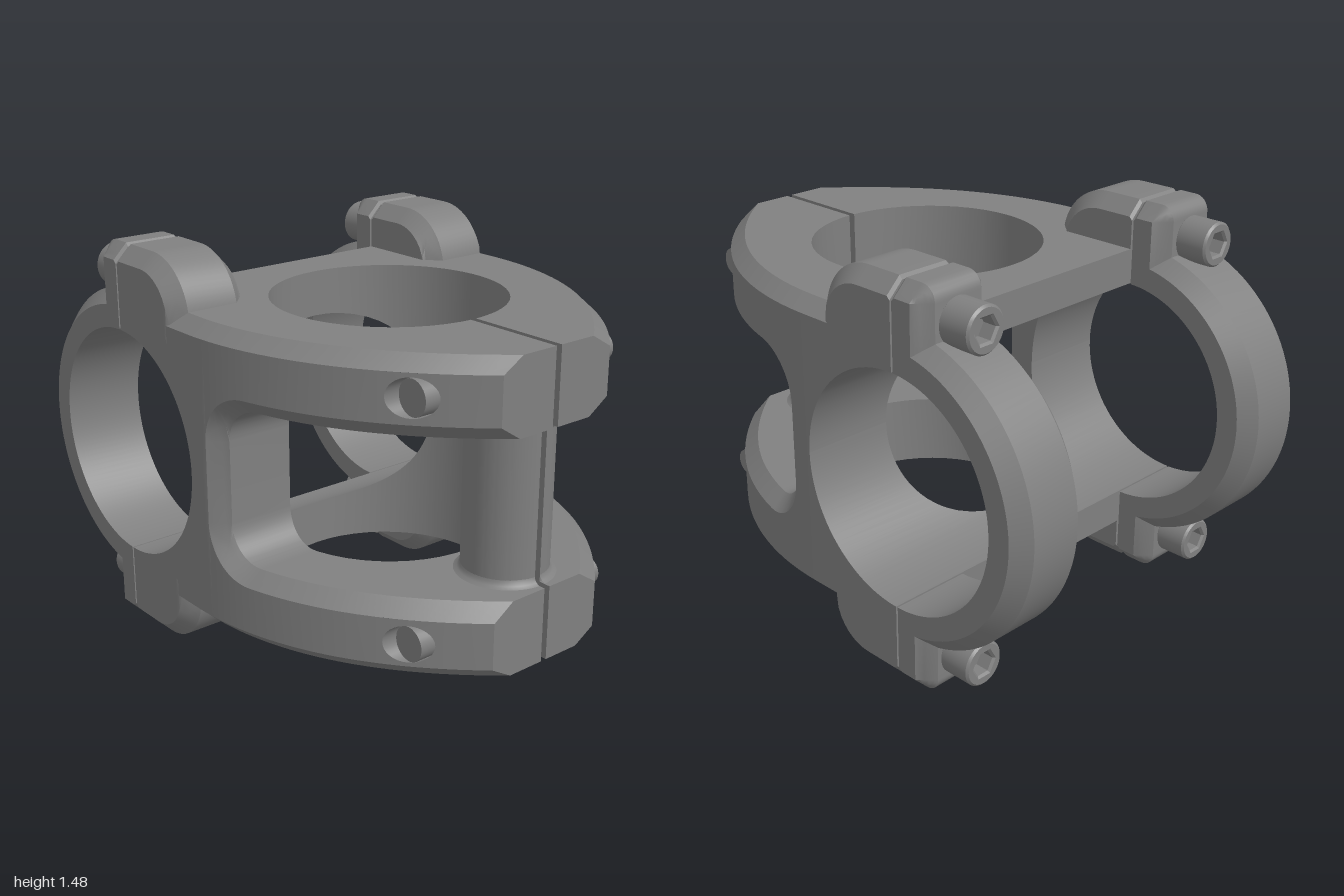
import * as THREE from 'three';
import { toCreasedNormals } from 'three/addons/utils/BufferGeometryUtils.js';

const H = 0.7375;            // half height; parts are modelled around y = 0, then lifted
const R = 0.43;              // radius of both bores
const BAR_Z = -0.43, STEM_Z = 0.182;
const C = 0.055;             // edge chamfer
const STEPS = [0, 0.25, 0.5, 0.75, 1];
const BOLT_Y = 0.43, BOLT_Z = 0.8;
const PATCH_Y = 0.42625, PATCH = 0.08625;   // square of side wall around each pinch bolt

const halfWidth = z => (z <= 0 ? 0.745 : 0.745 - 0.42 * z * z - 0.08 * z ** 4);
const slope = z => (z <= 0 ? 0 : 0.84 * z + 0.32 * z ** 3);
const arc = (r, d) => Math.sqrt(Math.max(0, r * r - d * d));

// Skin closed rings of [x, y, z] points; skip(a, b, c, d, j) leaves a quad out
function loft(rings, { startCap = true, skip = () => false } = {}) {
  const pos = [];
  const tri = (a, b, c) => {
    const [A, B, D] = [a, b, c].map(p => new THREE.Vector3(...p));
    if (B.sub(A).cross(D.sub(A)).length() > 1e-10) pos.push(...a, ...b, ...c);
  };
  for (let i = 0; i + 1 < rings.length; i++) {
    const p = rings[i], q = rings[i + 1], n = p.length;
    for (let j = 0; j < n; j++) {
      const k = (j + 1) % n;
      if (skip(p[j], p[k], q[k], q[j], j)) continue;
      tri(p[j], p[k], q[k]);
      tri(p[j], q[k], q[j]);
    }
  }
  const first = rings[0], last = rings[rings.length - 1];
  for (let j = 1; j + 1 < first.length; j++) {
    if (startCap) tri(first[0], first[j + 1], first[j]);
    tri(last[0], last[j], last[j + 1]);
  }
  const g = new THREE.BufferGeometry();
  g.setAttribute('position', new THREE.Float32BufferAttribute(pos, 3));
  return g;
}

// Mirrored copy with the winding kept outward
function mirrored(geo, sx, sy) {
  const g = geo.index ? geo.toNonIndexed() : geo.clone();
  g.scale(sx, sy, 1);
  if (sx * sy < 0) {
    const p = g.attributes.position;
    for (let i = 0; i < p.count; i += 3) {
      const b = [p.getX(i + 1), p.getY(i + 1), p.getZ(i + 1)];
      p.setXYZ(i + 1, p.getX(i + 2), p.getY(i + 2), p.getZ(i + 2));
      p.setXYZ(i + 2, ...b);
    }
  }
  g.deleteAttribute('normal');
  g.computeVertexNormals();
  return toCreasedNormals(g, 0.5);
}

// One quarter of the body: cross-sections along z
function bodyQuarter() {
  const zs = [0.05, 0.09 - 1e-5, 0.09 + 1e-5, 0.145 - 1e-5, 0.145 + 1e-5, 0.28, 0.34, 0.61,
    BOLT_Z - PATCH, BOLT_Z + PATCH, 0.66, 0.76, 0.8, 0.84, 0.92, 0.96, 1];
  for (let i = 0; i <= 24; i++) {
    zs.push(BAR_Z + R * Math.sin(i / 24 * Math.PI / 2));
    zs.push(STEM_Z - R * Math.cos(i / 24 * Math.PI));
    if (i % 2 === 0) {
      zs.push(0.28 - 0.135 * Math.cos(i / 48 * Math.PI) + 1e-5);
      zs.push(0.28 - 0.19 * Math.cos(i / 48 * Math.PI) + 1e-5);
    }
  }
  zs.sort((a, b) => a - b);
  const rings = zs.map(z => {
    const X = halfWidth(z), k = C * Math.hypot(1, slope(z));
    let inner = arc(R, z - STEM_Z);
    if (z > STEM_Z) inner = Math.max(0.012, inner);
    // lower boundary: bar bore, solid web, then the chamfered side window
    let low = z < 0 ? arc(R, z - BAR_Z) : 0;
    let edge = STEPS.map(() => [X, low]);
    if (z > 0.09) {
      const d = Math.max(0, 0.28 - z), t0 = Math.max(0, (d - 0.135) / C);
      edge = STEPS.map(s => {
        const t = t0 + (1 - t0) * s;
        return [X - k * (1 - t), 0.15 + arc(0.135 + C * t, d)];
      });
      if (z > 0.145) low = edge[0][1];
    }
    return [[inner, low], [edge[0][0], low], ...edge,
      [X, 0.5125], [X - k, 0.5625], [inner, 0.5625]].map(([x, y]) => [x, y, z]);
  });
  return loft(rings, {
    skip: (a, b, c, d, j) => {
      const q = [a, b, c, d];
      const hole = j === 6 && a[2] > BOLT_Z - PATCH - 1e-4 && d[2] < BOLT_Z + PATCH + 1e-4;
      return hole || q.every(p => p[0] === 0) || q.every(p => p[1] === 0);
    },
  });
}

// Counterbore let into the curved side wall
function counterbore(r) {
  const ring = (point, x) => Array.from({ length: 32 }, (_, i) => {
    const a = i / 32 * Math.PI * 2;
    const [y, z] = point(Math.cos(a), Math.sin(a));
    return [x ?? halfWidth(z), y, z];
  });
  const circle = (c, s) => [BOLT_Y + r * c, BOLT_Z + r * s];
  const square = (c, s) => {
    const m = PATCH / Math.max(Math.abs(c), Math.abs(s));
    return [PATCH_Y + m * c, BOLT_Z + m * s];
  };
  return loft([ring(square), ring(circle), ring(circle, 0.32)], { startCap: false });
}

// Bolt lug with chamfered sides. Stations are [z, centre y, inner radius, distance
// from centre]; the chamfer follows concentric arcs around that centre.
const lug = (stations, base) => loft(stations.map(([z, cy, r, d]) => {
  const t0 = Math.min(1, Math.max(0, (d - r) / C));
  const side = STEPS.map(s => {
    const t = t0 + (1 - t0) * s;
    return [C * t, cy + arc(r + C * t, d)];
  });
  return [[0.435 + C * t0, base], [0.745 - C * t0, base],
    ...side.map(([o, y]) => [0.745 - o, y]),
    ...side.reverse().map(([o, y]) => [0.435 + o, y])].map(([x, y]) => [x, y, z]);
}));

function bodyLug() {
  const st = [[-0.43, 0.51, 0.16, 0], [-0.418, 0.5225, 0.16, 0]];
  for (let i = 0; i <= 16; i++) {
    const d = 0.215 * Math.sin(i / 16 * Math.PI / 2);
    st.push([-0.275 + d, 0.5225, 0.16, d]);
  }
  return lug(st, 0.45);
}

function capLug() {
  const st = [];
  for (let i = 8; i >= 0; i--) {
    const d = C * Math.sin(i / 8 * Math.PI / 2);
    st.push([-0.52 - d, 0.6825, 0, d]);
  }
  return lug([...st, [-0.45, 0.6825, 0, 0], [-0.438, 0.67, 0, 0]], 0.432);
}

// Half ring around the handlebar
function capRing() {
  const pts = [[R, 0.435], [0.515, 0.435], [0.57, 0.49], [0.57, 0.69], [0.515, 0.745], [R, 0.745], [R, 0.435]]
    .map(p => new THREE.Vector2(...p));
  return new THREE.LatheGeometry(pts, 64, Math.PI / 2 + 0.018, Math.PI - 0.036)
    .rotateZ(-Math.PI / 2).translate(0, 0, BAR_Z);
}

// Cap screw head with hexagon socket
function socketHead() {
  const s = new THREE.Shape().absarc(0, 0, 0.083, 0, Math.PI * 2);
  const hex = Array.from({ length: 6 }, (_, i) =>
    new THREE.Vector2(0.047 * Math.cos(i * Math.PI / 3), 0.047 * Math.sin(i * Math.PI / 3)));
  s.holes.push(new THREE.Path(hex));
  return new THREE.ExtrudeGeometry(s, { depth: 0.115, curveSegments: 24, bevelSize: 0.008,
    bevelOffset: -0.008, bevelThickness: 0.008, bevelSegments: 1 }).translate(0.593, 0.604, -0.692);
}
const shank = (r, z0, z1) => new THREE.CylinderGeometry(r, r, z1 - z0, 24)
  .rotateX(Math.PI / 2).translate(0.593, 0.604, (z0 + z1) / 2);

// Half of the slotted front post, and the fillet at its end
function postHalf() {
  const a = Math.acos(0.012 / 0.155);
  const s = new THREE.Shape().absarc(0, 0, 0.155, -a, a);
  s.closePath();
  return new THREE.ExtrudeGeometry(s, { depth: 0.6, bevelEnabled: false, curveSegments: 28 })
    .rotateX(Math.PI / 2).translate(0, 0.3, BOLT_Z);
}
function postFillet() {
  const pts = [[0.154, 0.255], [0.157, 0.268], [0.165, 0.278], [0.18, 0.286]].map(p => new THREE.Vector2(...p));
  return new THREE.LatheGeometry(pts, 28, 0.08, Math.PI - 0.16).translate(0, 0, BOLT_Z);
}

export function createModel() {
  const group = new THREE.Group();
  const material = new THREE.MeshStandardMaterial({ color: 0x808080 });
  const add = (name, geo, sx = 1, sy = 1) => {
    const mesh = new THREE.Mesh(mirrored(geo, sx, sy), material);
    mesh.name = name;
    mesh.position.y = H;
    group.add(mesh);
  };
  for (const sx of [1, -1]) {
    const [holeR, headR] = sx > 0 ? [0.063, 0.052] : [0.068, 0.063];
    add('barCapRing', capRing(), sx);
    add('frontPost', postHalf(), sx);
    for (const sy of [1, -1]) {
      add('bodyQuarter', bodyQuarter(), sx, sy);
      add('bodyLug', bodyLug(), sx, sy);
      add('capLug', capLug(), sx, sy);
      add('capBoltHead', socketHead(), sx, sy);
      add('capBoltSocketFloor', shank(0.06, -0.64, -0.58), sx, sy);
      add('capBoltShank', shank(0.04, -0.57, -0.4), sx, sy);
      add('postFillet', postFillet(), sx, sy);
      add('pinchBoltHole', counterbore(holeR), sx, sy);
      add('pinchBoltHead', new THREE.CylinderGeometry(headR, headR, 0.13, 28)
        .rotateZ(Math.PI / 2).translate(0.375, BOLT_Y, BOLT_Z), sx, sy);
    }
  }
  for (const sy of [1, -1]) {
    add('pinchBoltShank', new THREE.CylinderGeometry(0.04, 0.04, 0.6, 20)
      .rotateZ(Math.PI / 2).translate(0, BOLT_Y, BOLT_Z), 1, sy);
  }
  return group;
}
